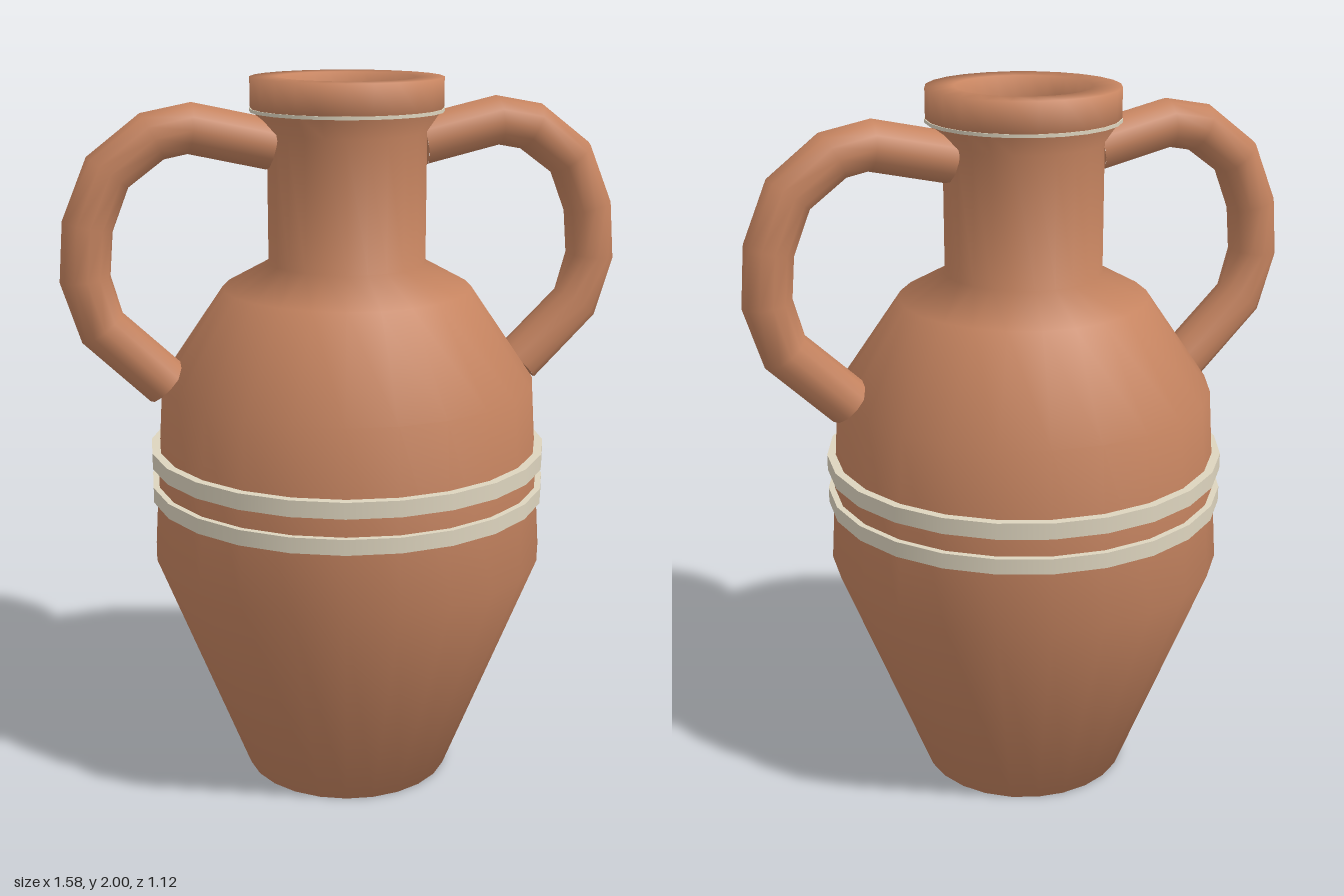
import * as THREE from 'three';

const SIDES = 24;

function lathe(name, points, material) {
  const profile = points.map(([r, y]) => new THREE.Vector2(r, y));
  const mesh = new THREE.Mesh(new THREE.LatheGeometry(profile, SIDES), material);
  mesh.name = name;
  return mesh;
}

// Closed rectangular ring around the vase
function band(name, inner, outer, y0, y1, material) {
  return lathe(name, [[inner, y0], [outer, y0], [outer, y0], [outer, y1], [outer, y1], [inner, y1]], material);
}

// Bent tube with capped ends; side is +1 (left) or -1 (right)
function handle(side, material) {
  const group = new THREE.Group();
  group.name = side > 0 ? 'leftHandle' : 'rightHandle';
  const path = [
    [0.21, 1.825], [0.43, 1.874], [0.53, 1.855], [0.65, 1.765],
    [0.708, 1.625], [0.72, 1.485], [0.68, 1.35], [0.51, 1.185],
  ].map(([x, y]) => new THREE.Vector3(side * x, y, 0));
  const curve = new THREE.CatmullRomCurve3(path, false, 'catmullrom', 0.5);
  // Place one tube ring at each path point
  curve.getPointAt = curve.getPoint;
  curve.getTangentAt = curve.getTangent;
  const radius = 0.068;
  const tube = new THREE.Mesh(new THREE.TubeGeometry(curve, path.length - 1, radius, 12, false), material);
  tube.name = 'handleTube';
  group.add(tube);
  for (const [t, sign] of [[0, -1], [1, 1]]) {
    const cap = new THREE.Mesh(new THREE.CircleGeometry(radius, 12), material);
    const out = curve.getTangent(t).multiplyScalar(sign);
    cap.name = 'handleEnd';
    cap.position.copy(curve.getPoint(t));
    cap.quaternion.setFromUnitVectors(new THREE.Vector3(0, 0, 1), out);
    group.add(cap);
  }
  return group;
}

export function createModel() {
  const clay = new THREE.MeshStandardMaterial({ color: 0xc68460 });
  clay.name = 'terracotta';
  const cream = new THREE.MeshStandardMaterial({ color: 0xddd4be });
  cream.name = 'cream';

  const model = new THREE.Group();
  model.name = 'amphora';

  // Body, neck, lip and hollow mouth in one profile
  model.add(lathe('body', [
    [0, 0], [0.295, 0], [0.555, 0.67], [0.522, 1.17], [0.345, 1.43],
    [0.217, 1.5], [0.217, 1.855], [0.262, 1.92], [0.262, 2], [0.185, 2],
    [0.165, 1.93], [0.165, 1.5], [0, 1.5],
  ], clay));

  // Painted bands on the belly and under the lip
  model.add(band('lowerBand', 0.53, 0.558, 0.842, 0.885, cream));
  model.add(band('upperBand', 0.53, 0.558, 0.94, 0.985, cream));
  model.add(band('lipBand', 0.24, 0.264, 1.909, 1.918, cream));

  for (const side of [1, -1]) model.add(handle(side, clay));
  return model;
}
